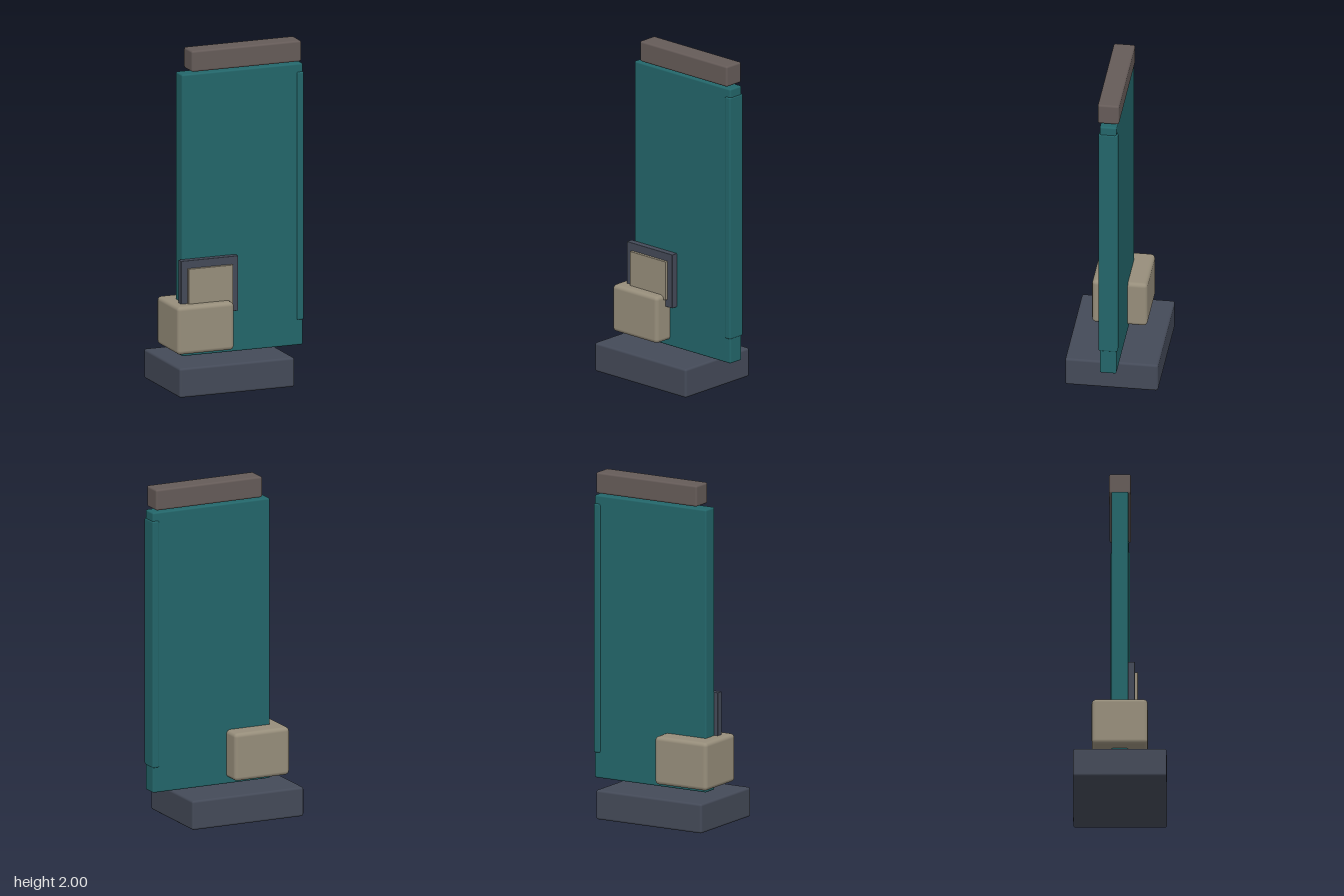
import * as THREE from 'three';
import { RoundedBoxGeometry } from 'three/addons/geometries/RoundedBoxGeometry.js';

const material = (name, color) => {
  const m = new THREE.MeshStandardMaterial({ color });
  m.name = name;
  return m;
};

export function createModel() {
  const teal = material('teal', 0x23666a);
  const slate = material('slate', 0x444a58);
  const beige = material('beige', 0x978e7b);
  const brown = material('brown', 0x655b58);

  const group = new THREE.Group();
  group.name = 'standingPanel';

  // Softly bevelled block given by its extents on each axis
  const block = (name, mat, [x0, x1], [y0, y1], [z0, z1], bevel) => {
    const geometry = new RoundedBoxGeometry(x1 - x0, y1 - y0, z1 - z0, 2, bevel);
    const mesh = new THREE.Mesh(geometry, mat);
    mesh.name = name;
    mesh.position.set((x0 + x1) / 2, (y0 + y1) / 2, (z0 + z1) / 2);
    group.add(mesh);
  };

  // Foot, main slab and cap bar
  block('base', slate, [-0.435, 0.285], [0, 0.175], [-0.272, 0.27], 0.014);
  block('panel', teal, [-0.328, 0.43], [0.188, 1.862], [-0.05, 0.048], 0.01);
  block('topBar', brown, [-0.272, 0.415], [1.875, 2], [-0.063, 0.062], 0.012);

  // Long rail wrapping the slab's left edge
  block('edgeRail', teal, [0.39, 0.434], [0.338, 1.812], [-0.057, 0.055], 0.01);

  // Box through the lower corner
  block('cornerBox', beige, [-0.4, -0.045], [0.225, 0.51], [-0.163, 0.16], 0.024);

  // Framed plate above the box
  block('plateFrame', slate, [-0.35, 0.008], [0.438, 0.765], [0.045, 0.086], 0.003);
  block('plate', beige, [-0.31, -0.03], [0.483, 0.718], [0.08, 0.103], 0.003);

  return group;
}
